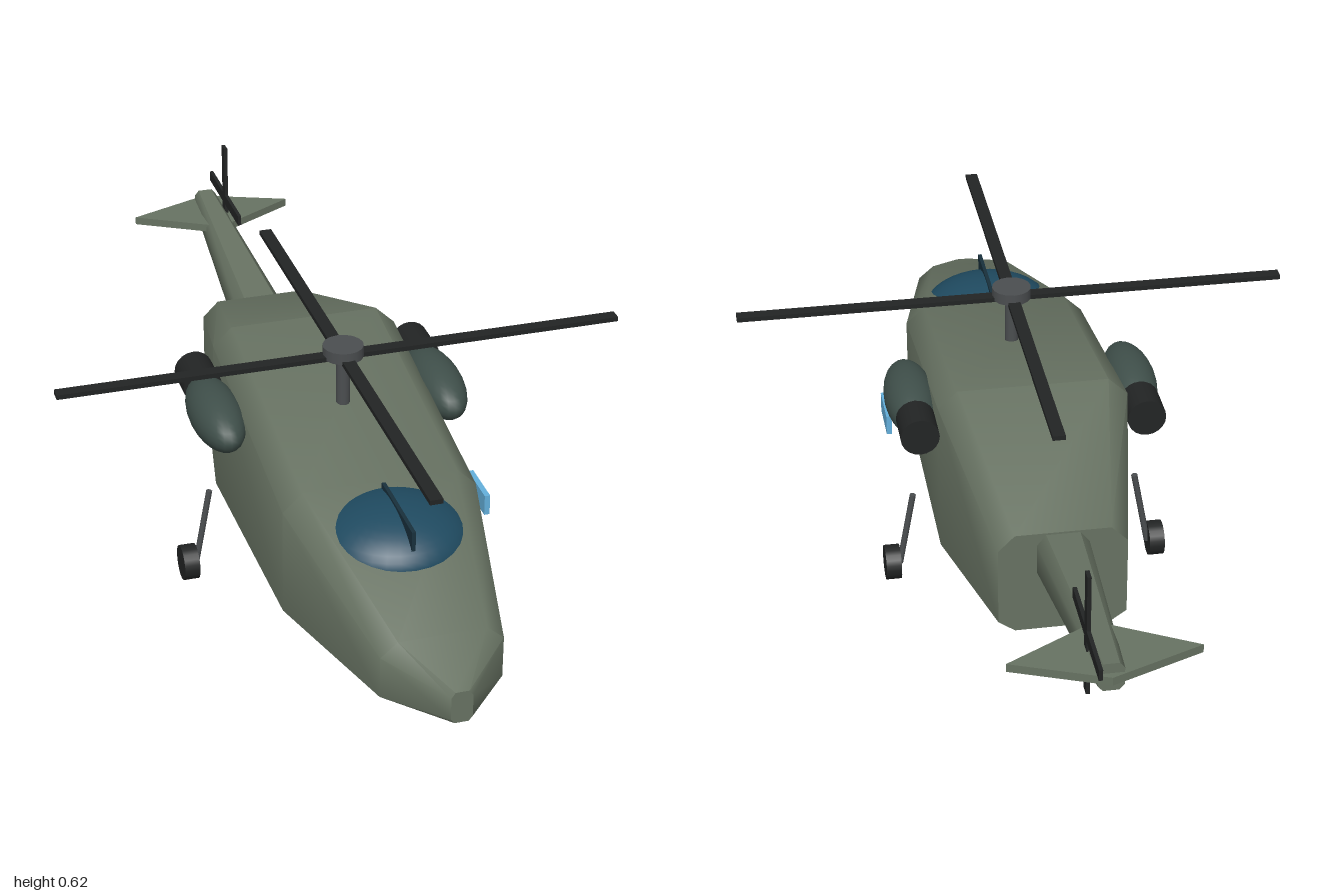
import * as THREE from 'three';
import { toCreasedNormals } from 'three/addons/utils/BufferGeometryUtils.js';

const mat = (color) => new THREE.MeshStandardMaterial({ color });
const M = {
  hull: mat(0x677262), engine: mat(0x3f4f4a), glass: mat(0x1f4a60), strut: mat(0x18303c),
  dark: mat(0x222424), metal: mat(0x4b4e50), window: mat(0x64b0dc),
};

// Lofts chamfered rectangles, given front to back as [z, halfWidth, yBottom, yTop, chamferX, chamferTop, chamferBottom]
function loft(sections) {
  const pos = [], idx = [], n = 8, last = (sections.length - 1) * n;
  for (const [z, w, b, t, cx, ct, cb] of sections) {
    const ring = [[w, b + cb], [w, t - ct], [w - cx, t], [cx - w, t], [-w, t - ct], [-w, b + cb], [cx - w, b], [w - cx, b]];
    for (const [x, y] of ring) pos.push(x, y, z);
  }
  for (let s = 0; s < last; s += n) {
    for (let j = 0; j < n; j++) {
      const a = s + j, b = s + (j + 1) % n;
      idx.push(a, a + n, b, b, a + n, b + n);
    }
  }
  for (let j = 1; j < n - 1; j++) idx.push(0, j, j + 1, last, last + j + 1, last + j);
  const g = new THREE.BufferGeometry();
  g.setAttribute('position', new THREE.Float32BufferAttribute(pos, 3));
  g.setIndex(idx);
  return toCreasedNormals(g, 0.85);
}

export function createModel() {
  const root = new THREE.Group();
  root.name = 'helicopter';
  const add = (name, geo, material, x = 0, y = 0, z = 0, parent = root) => {
    const m = new THREE.Mesh(geo, material);
    m.name = name;
    m.position.set(x, y, z);
    parent.add(m);
    return m;
  };
  const box = (w, h, d) => new THREE.BoxGeometry(w, h, d);
  const cyl = (r, h, n = 20) => new THREE.CylinderGeometry(r, r, h, n);

  // Body
  add('fuselage', loft([
    [1.0, 0.022, 0.215, 0.285, 0.008, 0.012, 0.01],
    [0.88, 0.125, 0.195, 0.335, 0.035, 0.03, 0.02],
    [0.48, 0.205, 0.145, 0.445, 0.042, 0.04, 0.025],
    [-0.07, 0.205, 0.13, 0.54, 0.042, 0.04, 0.025],
    [-0.44, 0.135, 0.175, 0.41, 0.035, 0.035, 0.025],
  ]), M.hull);
  add('tailBoom', loft([
    [-0.4, 0.057, 0.285, 0.402, 0.02, 0.025, 0.025],
    [-0.95, 0.026, 0.39, 0.452, 0.01, 0.012, 0.012],
  ]), M.hull);

  // Diamond tailplane, drawn in x and z and given thickness in y
  const plan = new THREE.Shape([[0, 0.965], [-0.19, 0.89], [-0.03, 0.8], [0.03, 0.8], [0.19, 0.89]]
    .map(([x, y]) => new THREE.Vector2(x, -y)));
  const tailplane = new THREE.ExtrudeGeometry(plan, { depth: 0.018, bevelEnabled: false });
  tailplane.rotateX(Math.PI / 2).scale(1, 1, 1);
  add('tailplane', tailplane, M.hull, 0, 0.43, 0);

  // Canopy bulging out of the nose, with its centre strut
  add('canopy', new THREE.SphereGeometry(1, 32, 20).scale(0.155, 0.08, 0.15), M.glass, 0, 0.37, 0.57);
  add('canopyStrut', box(0.008, 0.05, 0.195), M.strut, 0, 0.43, 0.6);

  // Main rotor
  const rotor = new THREE.Group();
  rotor.name = 'mainRotor';
  rotor.position.set(0, 0.6, 0.22);
  root.add(rotor);
  add('mast', cyl(0.015, 0.13, 12), M.metal, 0, -0.05, 0, rotor);
  add('hub', cyl(0.043, 0.025, 16), M.metal, 0, 0.0105, 0, rotor);
  add('bladesAcross', box(1.21, 0.01, 0.027), M.dark, 0, 0, 0, rotor);
  add('bladesAlong', box(0.027, 0.01, 1.21), M.dark, 0, 0, 0, rotor);

  // Tail rotor beside the boom
  const tailRotor = new THREE.Group();
  tailRotor.name = 'tailRotor';
  tailRotor.position.set(0.03, 0.465, -0.865);
  root.add(tailRotor);
  add('tailBladesUpright', box(0.008, 0.27, 0.024), M.dark, 0, 0, 0, tailRotor);
  add('tailBladesLevel', box(0.008, 0.024, 0.27), M.dark, 0, 0, 0, tailRotor);

  // Engines and main landing gear on both sides
  for (const [side, s] of [['left', 1], ['right', -1]]) {
    add(side + 'Engine', new THREE.SphereGeometry(1, 24, 16).scale(0.056, 0.056, 0.14), M.engine, s * 0.245, 0.433, 0.1);
    add(side + 'Exhaust', cyl(0.042, 0.085).rotateX(Math.PI / 2), M.dark, s * 0.246, 0.443, -0.043);
    const a = new THREE.Vector3(s * 0.25, 0.213, 0.05), b = new THREE.Vector3(s * 0.283, 0.035, 0.05);
    const leg = add(side + 'Leg', cyl(0.007, a.distanceTo(b), 8), M.metal);
    leg.position.lerpVectors(a, b, 0.5);
    leg.quaternion.setFromUnitVectors(new THREE.Vector3(0, 1, 0), a.clone().sub(b).normalize());
    add(side + 'Wheel', cyl(0.039, 0.034).rotateZ(Math.PI / 2), M.dark, s * 0.3, 0.039, 0.05);
  }
  add('noseWheel', cyl(0.032, 0.036).rotateZ(Math.PI / 2), M.dark, 0, 0.048, 0.62);

  // Single side window
  add('sideWindow', box(0.012, 0.046, 0.108), M.window, 0.276, 0.271, 0.31);
  return root;
}
